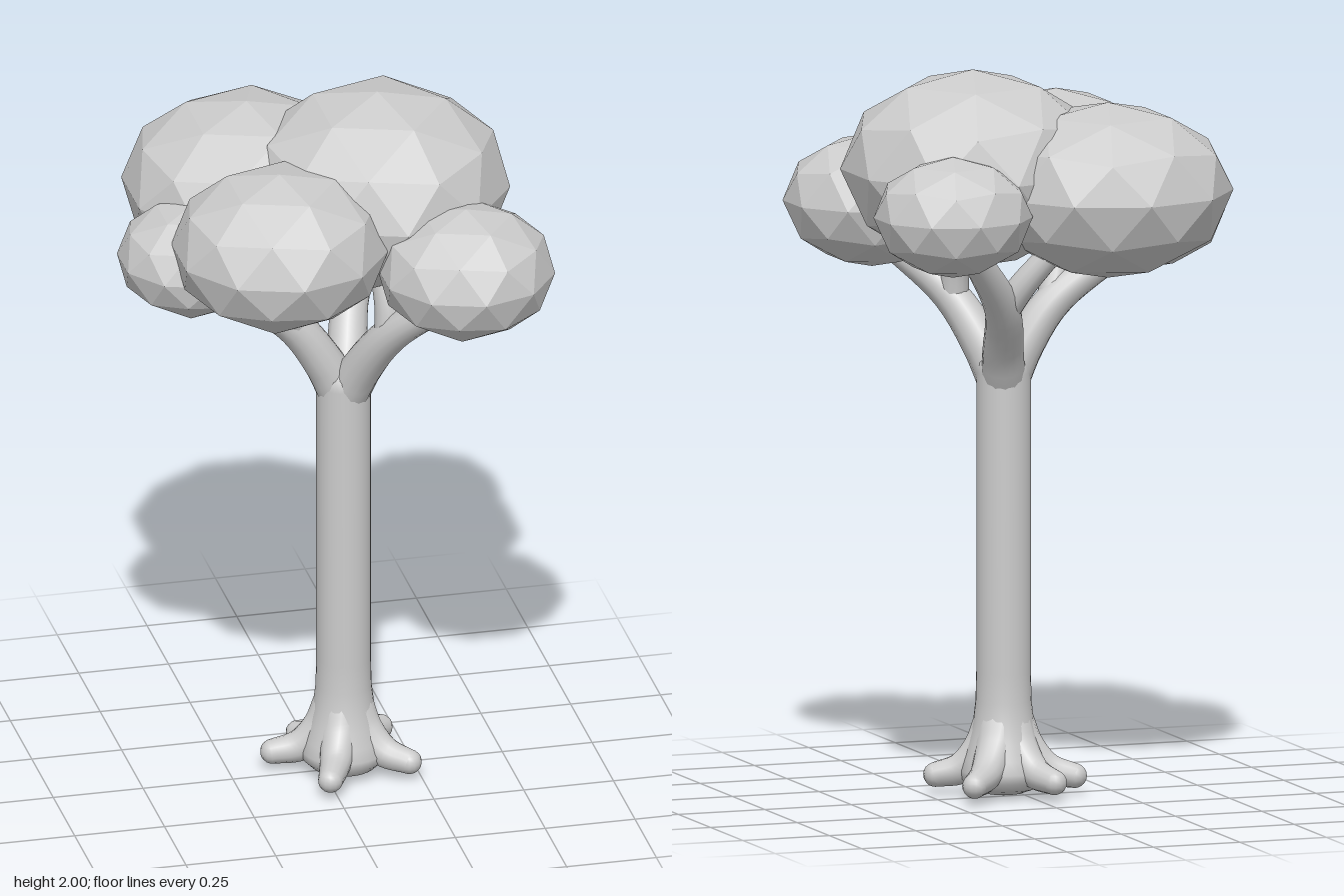
import * as THREE from 'three';

const bark = new THREE.MeshStandardMaterial({ color: 0xcccccc });
const leaf = new THREE.MeshStandardMaterial({ color: 0xcccccc, flatShading: true });
const CX = 0.055, CZ = 0.013; // trunk axis

function add(parent, name, geometry, material) {
  const mesh = new THREE.Mesh(geometry, material);
  mesh.name = name;
  parent.add(mesh);
  return mesh;
}

// Icosphere standing on a vertex, subdivided once
function icosphere() {
  const v = [0, 1, 0, 0, -1, 0], f = [];
  const h = 1 / Math.sqrt(5), r = 2 * h;
  for (let k = 0; k < 5; k++) {
    const a = k * Math.PI * 0.4, b = a + Math.PI * 0.2;
    v.push(r * Math.cos(a), h, r * Math.sin(a), r * Math.cos(b), -h, r * Math.sin(b));
    const up = 2 + 2 * k, low = up + 1;
    const up2 = 2 + 2 * ((k + 1) % 5), low2 = up2 + 1;
    f.push(0, up2, up, up, up2, low, low2, low, up2, 1, low, low2);
  }
  return new THREE.PolyhedronGeometry(v, f, 1, 1);
}

// Round limb along a smooth path, tapering from r0 to r1, with a rounded tip
function limb(parent, name, points, r0, r1, ease = 1) {
  const curve = new THREE.CatmullRomCurve3(points.map(p => new THREE.Vector3(...p)));
  const rings = 14, sides = 14;
  const geo = new THREE.TubeGeometry(curve, rings, 1, sides);
  const pos = geo.attributes.position, p = new THREE.Vector3();
  for (let i = 0; i <= rings; i++) {
    const c = curve.getPointAt(i / rings);
    const r = r1 + (r0 - r1) * Math.pow(1 - i / rings, ease);
    for (let j = 0; j <= sides; j++) {
      const n = i * (sides + 1) + j;
      p.fromBufferAttribute(pos, n).sub(c).multiplyScalar(r).add(c);
      pos.setXYZ(n, p.x, p.y, p.z);
    }
  }
  const group = new THREE.Group();
  group.name = name;
  add(group, name + 'Length', geo, bark);
  add(group, name + 'Tip', new THREE.SphereGeometry(r1, 14, 10), bark)
    .position.set(...points[points.length - 1]);
  parent.add(group);
}

export function createModel() {
  const tree = new THREE.Group();
  tree.name = 'tree';

  // Trunk with a flared, rounded foot and a domed crotch
  const profile = [
    [0, 0], [0.05, 0.008], [0.09, 0.022], [0.113, 0.045], [0.117, 0.07], [0.108, 0.105],
    [0.095, 0.15], [0.083, 0.2], [0.076, 0.26], [0.074, 0.34], [0.074, 1.16],
    [0.07, 1.19], [0.055, 1.21], [0.03, 1.222], [0, 1.225],
  ].map(p => new THREE.Vector2(...p));
  add(tree, 'trunk', new THREE.LatheGeometry(profile, 32), bark).position.set(CX, 0, CZ);

  // Five roots: x and z of each tip
  const roots = [[-0.02, 0.175], [0.215, 0.11], [0.19, -0.125], [-0.13, -0.04], [-0.035, -0.14]];
  for (const [x, z] of roots) {
    const at = (t, y) => [CX + (x - CX) * t, y, CZ + (z - CZ) * t];
    limb(tree, 'root', [at(0.1, 0.2), at(0.3, 0.13), at(0.62, 0.072), at(1, 0.052)], 0.065, 0.034);
  }

  // Three branches, each [fork, main tip, side tip]
  const branches = [
    [[0.16, 1.36, 0.15], [0.31, 1.51, 0.29], [0.14, 1.54, 0.09]],
    [[-0.09, 1.35, 0.01], [-0.32, 1.5, 0.01], [-0.13, 1.54, 0.09]],
    [[0.12, 1.36, -0.15], [0.26, 1.55, -0.27], [-0.01, 1.53, -0.22]],
  ];
  for (const [fork, main, side] of branches) {
    const start = [CX + (fork[0] - CX) * 0.12, 1.15, CZ + (fork[2] - CZ) * 0.12];
    const low = [CX + (fork[0] - CX) * 0.35, 1.22, CZ + (fork[2] - CZ) * 0.35];
    limb(tree, 'branch', [start, low, fork, main], 0.06, 0.034, 0.8);
    const base = fork.map((f, i) => f + (low[i] - f) * 0.12);
    const mid = fork.map((f, i) => f + (side[i] - f) * 0.4);
    limb(tree, 'sideBranch', [base, mid, side], 0.042, 0.033);
  }

  // Foliage clumps: centre x, y, z, then horizontal and vertical radius
  const clumps = [
    [0.16, 1.73, -0.03, 0.36, 0.27],
    [-0.16, 1.68, -0.22, 0.34, 0.24],
    [-0.17, 1.68, 0.21, 0.295, 0.218],
    [0.325, 1.604, 0.31, 0.242, 0.182],
    [0.325, 1.645, -0.32, 0.216, 0.165],
    [-0.36, 1.583, 0.01, 0.21, 0.158],
  ];
  const ball = icosphere();
  for (const [x, y, z, r, h] of clumps) {
    const clump = add(tree, 'foliageClump', ball, leaf);
    clump.position.set(x, y, z);
    clump.scale.set(r, h, r);
  }
  return tree;
}
